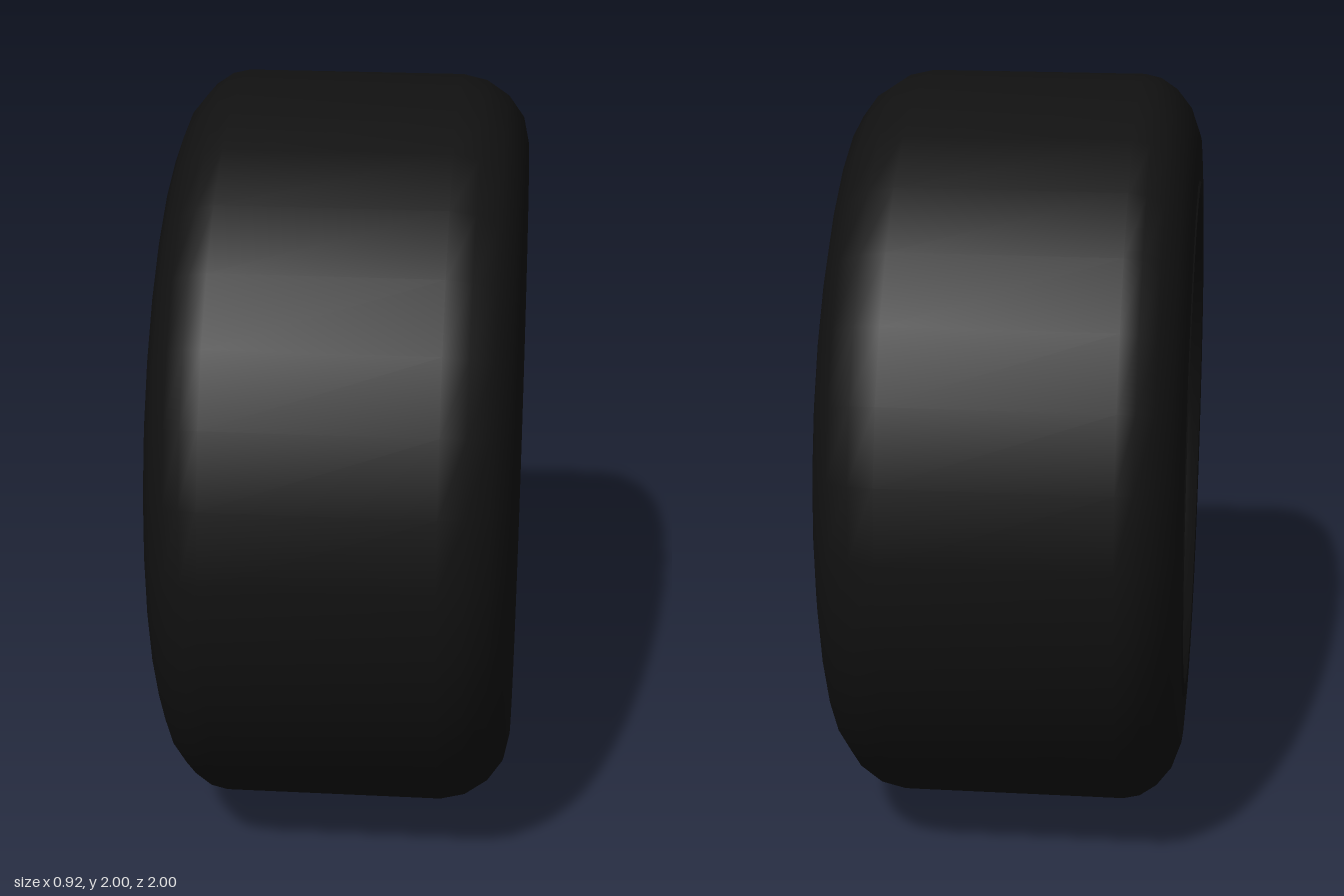
import * as THREE from 'three';
import { toCreasedNormals } from 'three/addons/utils/BufferGeometryUtils.js';

const SEGMENTS = 32;
const rubber = new THREE.MeshStandardMaterial({ color: 0x111111 });
const alloy = new THREE.MeshStandardMaterial({ color: 0x0e0e0e });
const metal = new THREE.MeshStandardMaterial({ color: 0x808080 });

// Turns a [radius, axial position] profile around the axle (local y).
function turned(name, profile, material, crease = 0.6) {
  const points = profile.map(([r, a]) => new THREE.Vector2(r, a));
  const geometry = toCreasedNormals(new THREE.LatheGeometry(points, SEGMENTS), crease);
  const mesh = new THREE.Mesh(geometry, material);
  mesh.name = name;
  return mesh;
}

// A tapered bar running along local +z from the hub to the rim.
function spokeGeometry() {
  const inner = 0.18, outer = 0.63;
  const geometry = new THREE.BoxGeometry(0.075, 0.09, outer - inner);
  geometry.translate(0, -0.35, (inner + outer) / 2);
  const p = geometry.attributes.position;
  for (let i = 0; i < p.count; i++) {
    if (p.getZ(i) > 0.4) {
      p.setX(i, p.getX(i) * 0.75);
      p.setY(i, p.getY(i) + 0.03);
    }
  }
  geometry.computeVertexNormals();
  return geometry;
}

export function createModel() {
  const model = new THREE.Group();
  model.name = 'wheel';
  const axle = new THREE.Group();
  axle.name = 'axleAssembly';
  axle.position.y = 1;
  axle.rotation.z = -Math.PI / 2; // local +y becomes +x, the closed side
  model.add(axle);

  // Tyre: open sidewall, rounded shoulders, tread and closed inner side
  axle.add(turned('tyre', [
    [0.7, -0.455], [0.76, -0.46], [0.84, -0.455], [0.91, -0.43], [0.96, -0.39],
    [0.99, -0.345], [1, -0.3], [1, 0.28], [0.985, 0.345], [0.945, 0.405],
    [0.89, 0.445], [0.82, 0.46], [0, 0.46],
  ], rubber, 1.0));

  // Rim: back plate, tapering barrel and lip
  axle.add(turned('rim', [
    [0, -0.14], [0.54, -0.14], [0.57, -0.2], [0.62, -0.32], [0.65, -0.41],
    [0.665, -0.44], [0.68, -0.46], [0.71, -0.462], [0.72, -0.45],
  ], alloy));

  // Hub with its collar reaching the back plate
  axle.add(turned('hub', [
    [0, -0.395], [0.225, -0.395], [0.245, -0.375], [0.245, -0.3], [0.25, -0.14],
  ], alloy));

  // Centre cap
  axle.add(turned('centreCap', [
    [0, -0.42], [0.148, -0.42], [0.157, -0.412], [0.157, -0.39],
  ], metal));

  // Eight spokes, each with a bolt at its root
  const spoke = spokeGeometry();
  const bolt = new THREE.CylinderGeometry(0.023, 0.023, 0.03, 12);
  for (let i = 0; i < 8; i++) {
    const arm = new THREE.Group();
    arm.name = 'spokeWithBolt';
    arm.rotation.y = (i * Math.PI) / 4;
    const bar = new THREE.Mesh(spoke, alloy);
    bar.name = 'spoke';
    const stud = new THREE.Mesh(bolt, metal);
    stud.name = 'bolt';
    stud.position.set(0, -0.395, 0.198);
    arm.add(bar, stud);
    axle.add(arm);
  }
  return model;
}
